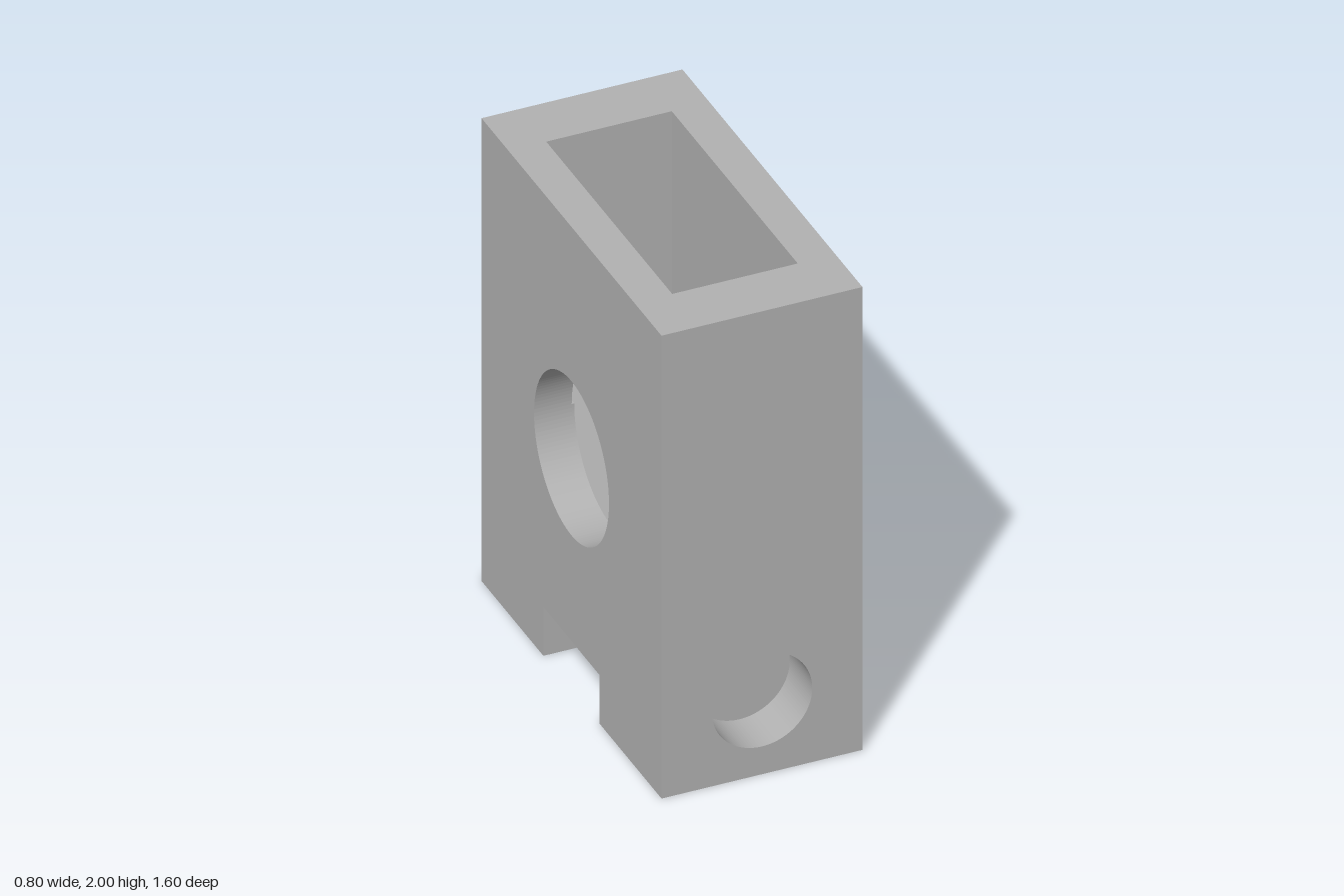
import * as THREE from 'three';

const H = 2, HALF_X = 0.4, HALF_Z = 0.8;           // block
const STEP_Y = 1, FLOOR_Y = 0.45, POCKET_Z = 0.56; // pocket
const FLOOR_Z = 0.32, BORE_R = 0.333;
const FRONT_Z = 0.6;                               // bottom of the blind front hole

export function createModel() {
  const group = new THREE.Group();
  const grey = new THREE.MeshStandardMaterial({ color: 0xb2b2b2 });
  grey.name = 'plain grey';

  const add = (name, geometry) => {
    const mesh = new THREE.Mesh(geometry, grey);
    mesh.name = name;
    group.add(mesh);
  };

  // Extrude a (z, y) profile along x, from x0 to x1
  const alongX = (shape, x0, x1) =>
    new THREE.ExtrudeGeometry(shape, { depth: x1 - x0, bevelEnabled: false, curveSegments: 64 })
      .rotateY(-Math.PI / 2)
      .translate(x1, 0, 0);

  // Lower edge with the notch, running from the back to the front
  const startBase = (frontZ) => {
    const s = new THREE.Shape();
    s.moveTo(-HALF_Z, 0);
    s.lineTo(-0.25, 0);
    s.lineTo(-0.25, 0.21);
    s.lineTo(0.25, 0.21);
    s.lineTo(0.25, 0);
    s.lineTo(frontZ, 0);
    s.lineTo(frontZ, H);
    return s;
  };

  // Side walls with the round through bore
  const wall = startBase(HALF_Z);
  wall.lineTo(-HALF_Z, H);
  const bore = new THREE.Path();
  bore.absarc(0, STEP_Y, BORE_R, 0, Math.PI * 2, true);
  wall.holes.push(bore);

  // Profile open at the top; cutBottom draws the lower part of the pocket
  const pocketProfile = (cutBottom) => {
    const s = startBase(FRONT_Z);
    s.lineTo(POCKET_Z, H);
    s.lineTo(POCKET_Z, STEP_Y);
    cutBottom(s);
    s.lineTo(-POCKET_Z, STEP_Y);
    s.lineTo(-POCKET_Z, H);
    s.lineTo(-HALF_Z, H);
    return s;
  };

  // Narrow ledge halfway down each side of the pocket, cut by the bore
  const ledge = pocketProfile((s) => {
    s.lineTo(BORE_R, STEP_Y);
    s.absarc(0, STEP_Y, BORE_R, 0, Math.PI, true);
  });

  for (const [side, sign] of [['left', 1], ['right', -1]]) {
    const span = (a, b) => (sign > 0 ? [a, b] : [-b, -a]);
    add(side + 'Wall', alongX(wall, ...span(0.25, HALF_X)));
    add(side + 'Ledge', alongX(ledge, ...span(0.24, 0.25)));
  }

  // Core with sloped hopper ends and a flat floor
  const core = pocketProfile((s) => {
    s.lineTo(FLOOR_Z, FLOOR_Y);
    s.lineTo(-FLOOR_Z, FLOOR_Y);
  });
  add('hopperCore', alongX(core, -0.24, 0.24));

  // Front plate with the blind hole
  const plate = new THREE.Shape();
  plate.moveTo(-0.25, 0);
  plate.lineTo(0.25, 0);
  plate.lineTo(0.25, H);
  plate.lineTo(-0.25, H);
  const frontHole = new THREE.Path();
  frontHole.absarc(0, 0.32, 0.2, 0, Math.PI * 2, true);
  plate.holes.push(frontHole);
  add('frontPlate', new THREE.ExtrudeGeometry(plate, {
    depth: HALF_Z - FRONT_Z, bevelEnabled: false, curveSegments: 64,
  }).translate(0, 0, FRONT_Z));

  return group;
}
